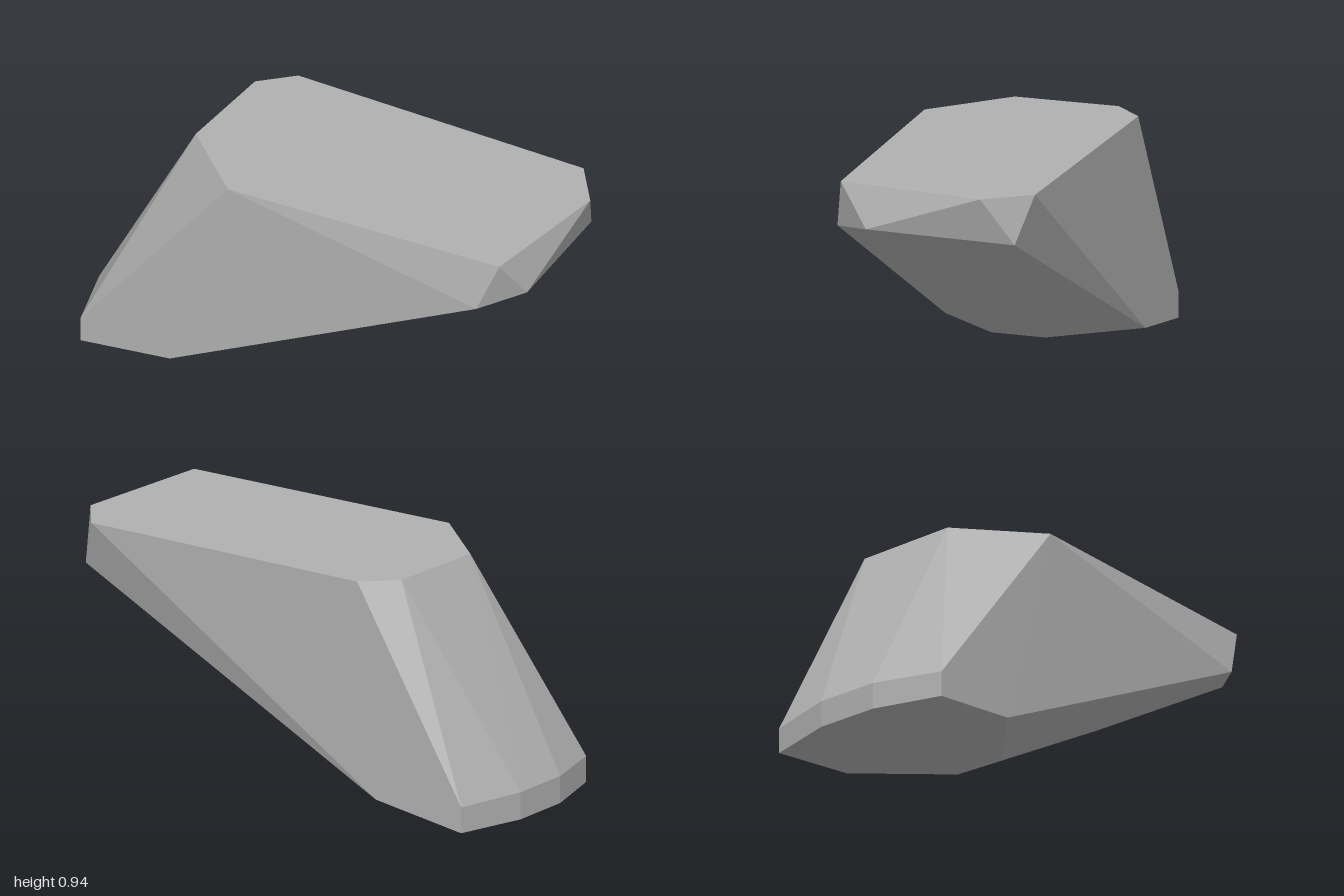
import * as THREE from 'three';
import { ConvexGeometry } from 'three/addons/geometries/ConvexGeometry.js';

export function createModel() {
  const stone = new THREE.MeshStandardMaterial({ color: 0xb0b0b0 });
  stone.name = 'stone grey';

  // Flat top outline
  const top = [
    [-0.56, 0.93, 0.14], [-0.545, 0.93, -0.29], [-0.42, 0.93, -0.41],
    [0.86, 0.93, -0.41], [0.995, 0.93, -0.23], [0.93, 0.94, 0.36], [-0.26, 0.93, 0.41],
  ];
  // Chipped corners under the overhanging end
  const overhang = [[0.85, 0.74, 0.4], [0.985, 0.77, 0.24], [0.93, 0.74, -0.35]];
  // Lower edge of the sloping underside
  const underside = [
    [-0.52, 0.05, 0.41], [-0.21, 0.073, 0.12], [-0.21, 0.07, -0.1],
    [-0.51, 0.06, -0.41], [-0.56, 0.015, 0.1],
  ];
  // Low upright rim around the foot, mirrored front to back
  const foot = [];
  for (const side of [1, -1]) {
    foot.push([-0.92, 0, 0.41 * side], [-0.92, 0.105, 0.41 * side]);
    foot.push([-1, 0, 0.13 * side], [-1, 0.11, 0.13 * side]);
  }

  const points = [...top, ...overhang, ...underside, ...foot]
    .map((p) => new THREE.Vector3(...p));
  const rock = new THREE.Mesh(new ConvexGeometry(points), stone);
  rock.name = 'slantedRock';

  const group = new THREE.Group();
  group.name = 'rock';
  group.add(rock);
  return group;
}
